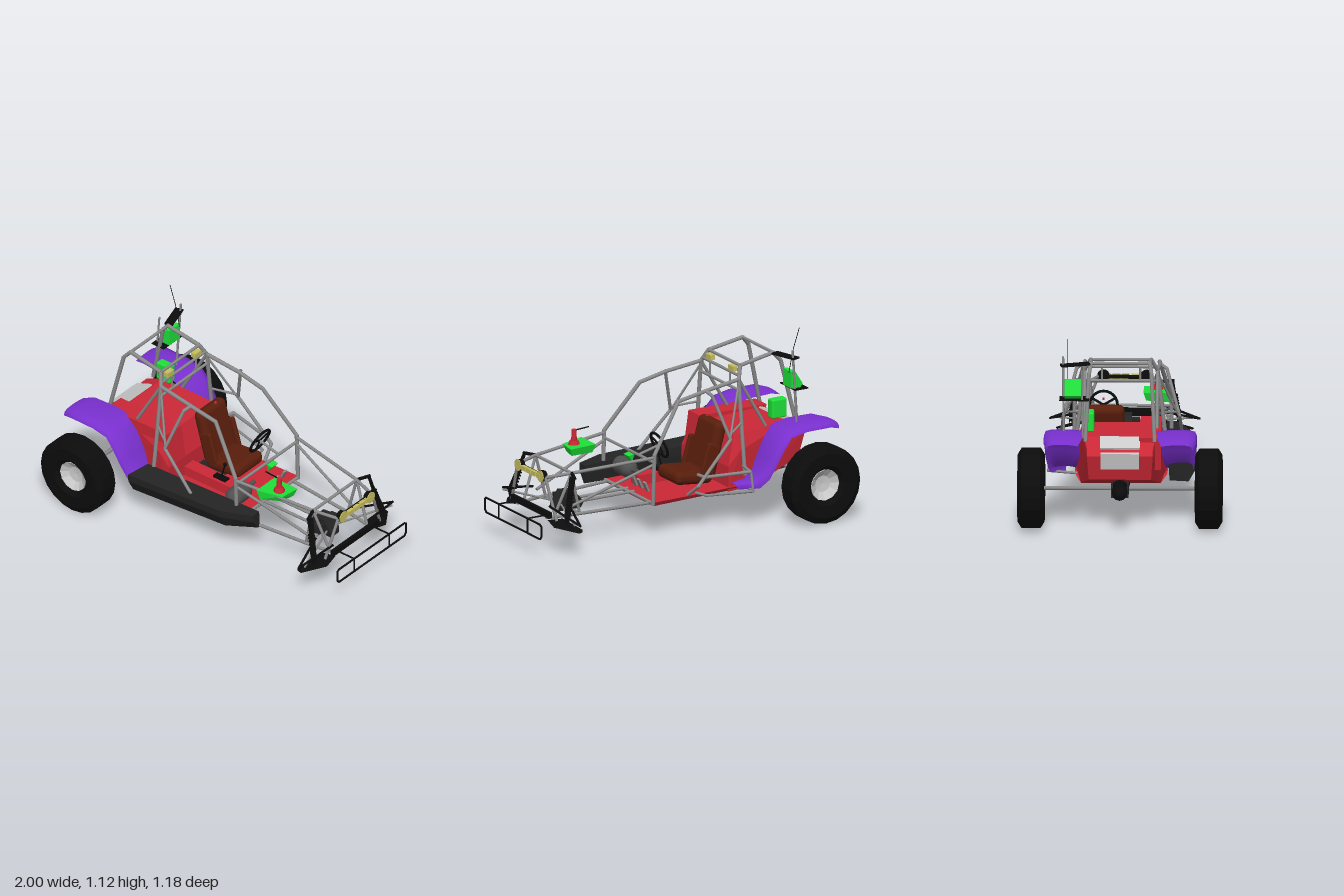
import * as THREE from 'three';
import { mergeGeometries } from 'three/addons/utils/BufferGeometryUtils.js';
import { ConvexGeometry } from 'three/addons/geometries/ConvexGeometry.js';
import { RoundedBoxGeometry } from 'three/addons/geometries/RoundedBoxGeometry.js';

const mat = (color, flatShading = false) => new THREE.MeshStandardMaterial({ color, flatShading, side: THREE.DoubleSide });
const V = (p) => new THREE.Vector3(...p);

export function createModel() {
  const root = new THREE.Group();
  const light = mat(0xcccccc, true), steel = mat(0x8a8a8a), tank = mat(0x505050);
  const black = mat(0x0c0c0c), tread = mat(0x0c0c0c, true), dark = mat(0x242424, true), red = mat(0xcc2836, true);
  const purple = mat(0x7a30d0), green = mat(0x1ee03a), brown = mat(0x5a1e0c), yellow = mat(0xc8c060);

  const add = (name, geo, m, pos = [0, 0, 0], rot = [0, 0, 0]) => {
    const mesh = new THREE.Mesh(geo, m);
    mesh.name = name;
    mesh.position.set(...pos);
    mesh.rotation.set(...rot);
    root.add(mesh);
    return mesh;
  };
  const box = (name, size, pos, m, rot) => add(name, new THREE.BoxGeometry(...size), m, pos, rot);
  const hull = (name, pts, m) => add(name, new ConvexGeometry(pts.map(V)), m);
  // Straight pipe runs with ball joints at the bends
  const pipe = (name, pts, r = 0.01, m = steel) => {
    const parts = [];
    pts.forEach((p, i) => {
      if (i === 0) return;
      const a = V(pts[i - 1]), d = V(p).sub(a), len = d.length();
      const g = new THREE.CylinderGeometry(r, r, len, 8);
      g.applyQuaternion(new THREE.Quaternion().setFromUnitVectors(new THREE.Vector3(0, 1, 0), d.normalize()));
      g.translate(...a.addScaledVector(d, len / 2).toArray());
      parts.push(g);
      if (i < pts.length - 1) parts.push(new THREE.SphereGeometry(r, 8, 6).translate(...p));
    });
    return add(name, mergeGeometries(parts), m);
  };
  const flip = (pts, s) => pts.map(([x, y, z]) => [x, y, z * s]);
  const pipes = (name, pts, r, m) => [1, -1].forEach((s) => pipe(name, flip(pts, s), r, m));
  const cross = (name, x, y, z, r, m) => pipe(name, [[x, y, -z], [x, y, z]], r, m);
  const lathe = (pts, sides) => new THREE.LatheGeometry(pts.map((p) => new THREE.Vector2(...p)), sides);

  // Rear wheels with dished rims, and axle
  const tyre = [[0.09, -0.04], [0.12, -0.074], [0.195, -0.078], [0.232, -0.055], [0.232, 0.055], [0.195, 0.078], [0.12, 0.074], [0.09, 0.04]];
  const rim = [[0, -0.015], [0.05, -0.02], [0.094, -0.05], [0.094, 0.05], [0.05, 0.02], [0, 0.015]];
  for (const s of [1, -1]) {
    add('rearTyre', lathe(tyre, 20), tread, [-0.77, 0.235, s * 0.512], [Math.PI / 2, 0, 0]);
    add('rearRim', lathe(rim, 12), light, [-0.77, 0.235, s * 0.512], [Math.PI / 2, 0, 0]);
  }
  cross('rearAxle', -0.77, 0.235, 0.5, 0.012);

  // Fenders: crowned strips swept over each rear wheel
  const stations = [[-0.95, 0.545, 0.24, 0.42], [-0.88, 0.567, 0.22, 0.44], [-0.72, 0.565, 0.21, 0.44], [-0.62, 0.545, 0.21, 0.44],
    [-0.55, 0.48, 0.22, 0.44], [-0.5, 0.39, 0.23, 0.435], [-0.46, 0.31, 0.25, 0.42], [-0.4, 0.265, 0.26, 0.41], [-0.31, 0.25, 0.26, 0.32]];
  const n = 8;
  for (const s of [1, -1]) {
    const pos = [], idx = [];
    stations.forEach(([x, y, zi, zo], i) => {
      for (let j = 0; j <= n; j++) {
        const t = j / n, drop = 0.035 * Math.pow(t, 8) + 0.01 * Math.pow(1 - t, 4);
        pos.push(x - (i > 3 ? drop * 0.6 : 0), y - drop, s * (zi + (zo - zi) * Math.min(1, t * 1.1)));
        if (i && j) {
          const c = i * (n + 1) + j, b = c - n - 1;
          idx.push(...(s > 0 ? [b - 1, b, c, b - 1, c, c - 1] : [b - 1, c, b, b - 1, c - 1, c]));
        }
      }
    });
    const g = new THREE.BufferGeometry();
    g.setAttribute('position', new THREE.Float32BufferAttribute(pos, 3));
    g.setIndex(idx);
    g.computeVertexNormals();
    add('rearFender', g, purple);
  }

  // Body: engine cover with raised side box, flat floor pan
  const both = (list) => list.flatMap(([x, y, z]) => [[x, y, z], [x, y, -z]]);
  hull('engineCover', both([[-0.86, 0.45, 0.19], [-0.83, 0.49, 0.19], [-0.72, 0.53, 0.21], [-0.36, 0.515, 0.22], [-0.3, 0.34, 0.26],
    [-0.3, 0.19, 0.26], [-0.5, 0.19, 0.23], [-0.82, 0.3, 0.18], [-0.38, 0.42, 0.255]]), red);
  hull('raisedSideBox', [0.11, 0.235].flatMap((z) => [[-0.78, 0.54, z], [-0.33, 0.545, z], [-0.3, 0.34, z], [-0.75, 0.34, z]]), red);
  hull('floorPan', both([[-0.5, 0.19, 0.23], [0.21, 0.19, 0.27], [0.215, 0.215, 0.285], [-0.4, 0.215, 0.265]]), red);
  box('centreTunnel', [0.45, 0.06, 0.08], [-0.1, 0.245, 0.08], red);
  box('rearGrille', [0.115, 0.012, 0.23], [-0.785, 0.51, 0], light, [0, 0, 0.36]);
  box('rearGrillePanel', [0.02, 0.1, 0.22], [-0.85, 0.42, 0], light, [0, 0, 0.2]);

  // Underbody drivetrain
  hull('underTray', both([[-0.85, 0.2, 0.05], [0.13, 0.2, 0.06], [0.13, 0.16, 0.04], [-0.5, 0.165, 0.05], [-0.85, 0.26, 0.05]]), dark);
  add('rearGearbox', new THREE.CapsuleGeometry(0.045, 0.12, 6, 12), black, [-0.83, 0.24, 0], [0, 0, Math.PI / 2]);

  // Side pod on the left flank, nerf bar on the other
  const podTop = [[-0.46, 0.44], [0.18, 0.39], [0.36, 0.31], [0.36, 0.25], [-0.44, 0.28]];
  hull('sidePod', podTop.flatMap(([x, z]) => [[x, 0.318, z], [x, 0.27, z - 0.005],
    [x, x > 0.3 ? 0.21 : 0.19, z - (z > 0.3 ? 0.05 : 0)]]), dark);
  pipe('nerfBar', [[-0.4, 0.33, -0.26], [-0.36, 0.34, -0.405], [-0.09, 0.335, -0.345], [-0.09, 0.33, -0.27]]);
  pipe('nerfBar', [[-0.4, 0.22, -0.25], [-0.37, 0.225, -0.42], [-0.1, 0.225, -0.35], [-0.08, 0.22, -0.26]], 0.008);
  pipe('nerfBarPost', [[-0.365, 0.34, -0.405], [-0.37, 0.225, -0.42]], 0.008);

  // Roll cage
  pipes('rearHoopLeg', [[-0.43, 0.91, 0.175], [-0.656, 0.95, 0.17], [-0.7, 0.9, 0.18], [-0.79, 0.52, 0.2]], 0.012);
  pipes('mainHoopLeg', [[-0.43, 0.91, 0.175], [-0.4, 0.84, 0.21], [-0.4, 0.5, 0.25], [-0.4, 0.28, 0.28]], 0.012);
  pipes('rearBrace', [[-0.4, 0.84, 0.21], [-0.58, 0.53, 0.21]]);
  pipes('roofRail', [[-0.4, 0.84, 0.21], [-0.17, 0.81, 0.22], [0.01, 0.775, 0.215], [0.21, 0.5, 0.28], [0.22, 0.2, 0.28]], 0.012);
  pipes('sideBar', [[-0.17, 0.81, 0.225], [-0.19, 0.79, 0.26], [-0.27, 0.53, 0.335], [-0.04, 0.29, 0.355], [-0.02, 0.22, 0.27]]);
  pipes('doorBar', [[-0.4, 0.585, 0.24], [-0.26, 0.55, 0.33]], 0.007);
  pipes('sideDiagonal', [[-0.39, 0.8, 0.22], [-0.27, 0.53, 0.33]], 0.007);
  for (const [x, y, z] of [[-0.656, 0.95, 0.17], [-0.43, 0.91, 0.175], [-0.405, 0.86, 0.2], [-0.4, 0.775, 0.215],
    [0.21, 0.455, 0.28]]) cross('cageCrossBar', x, y, z, 0.009);
  pipes('roofPost', [[-0.4, 0.86, 0.11], [-0.4, 0.775, 0.11]], 0.006);
  for (const s of [1, -1]) box('roofLamp', [0.03, 0.03, 0.057], [-0.41, 0.886, s * 0.125], yellow);

  // Nose frame
  pipes('upperNoseRail', [[0.21, 0.485, 0.28], [0.72, 0.455, 0.2], [0.87, 0.44, 0.155]]);
  pipes('lowerNoseRail', [[0.1, 0.205, 0.25], [0.72, 0.2, 0.19], [0.87, 0.2, 0.16]]);
  pipes('noseDiagonal', [[0.22, 0.44, 0.275], [0.72, 0.25, 0.19]], 0.009);
  pipes('nosePost', [[0.66, 0.2, 0.19], [0.72, 0.455, 0.2], [0.82, 0.2, 0.17]], 0.009);
  pipes('noseFrontPost', [[0.87, 0.44, 0.155], [0.85, 0.2, 0.25]], 0.009);
  pipes('driveRail', [[0.2, 0.215, 0.035], [0.6, 0.215, 0.035]], 0.009);
  cross('noseCrossBar', 0.72, 0.455, 0.2, 0.009);
  cross('noseFloorBar', 0.66, 0.2, 0.19, 0.009);
  cross('footBar', 0.22, 0.21, 0.28, 0.01);
  hull('frontGearbox', both([[0.54, 0.21, 0.04], [0.56, 0.175, 0.035], [0.72, 0.175, 0.035], [0.72, 0.21, 0.04], [0.67, 0.285, 0.045], [0.6, 0.28, 0.045]]), dark);
  box('gearboxMount', [0.05, 0.05, 0.18], [0.65, 0.23, 0], dark);
  box('frontBeam', [0.022, 0.035, 0.42], [0.87, 0.225, 0], black);

  // Front suspension: coil-over shocks and arms
  const from = V([0.75, 0.45, 0.275]), to = V([0.82, 0.19, 0.31]);
  pipes('shockRod', [from.toArray(), to.toArray()], 0.01, black);
  const tilt = new THREE.Quaternion().setFromUnitVectors(new THREE.Vector3(0, 0, 1), to.clone().sub(from).normalize());
  for (const s of [1, -1]) {
    for (let i = 0; i < 7; i++) {
      const coil = add('shockCoil', new THREE.TorusGeometry(0.016, 0.004, 6, 12), black);
      coil.position.lerpVectors(from, to, 0.36 + i * 0.07);
      coil.quaternion.copy(tilt);
      if (s < 0) { coil.position.z *= -1; coil.quaternion.x *= -1; coil.quaternion.y *= -1; }
    }
    hull('lowerArm', flip([[0.87, 0.19, 0.18], [0.78, 0.19, 0.2], [0.88, 0.17, 0.27], [0.76, 0.155, 0.39], [0.79, 0.155, 0.4], [0.76, 0.17, 0.39]], s), black);
    hull('steeringUpright', flip([[0.74, 0.46, 0.27], [0.77, 0.46, 0.26], [0.78, 0.31, 0.295], [0.84, 0.24, 0.315], [0.82, 0.16, 0.32], [0.8, 0.25, 0.325]], s), black);
  }
  pipes('shockMount', [[0.72, 0.455, 0.2], [0.75, 0.45, 0.285]], 0.01, black);
  pipes('upperArm', [[0.87, 0.28, 0.2], [0.8, 0.21, 0.43], [0.74, 0.27, 0.2]], 0.007, black);
  pipes('tieRod', [[0.7, 0.22, 0.05], [0.82, 0.21, 0.4]], 0.006);

  // Front bumper
  pipe('bumperLoop', [[0.993, 0.127, -0.3], [0.993, 0.127, 0.3], [0.993, 0.145, 0.315], [0.993, 0.205, 0.315], [0.993, 0.215, 0.3],
    [0.993, 0.215, -0.3], [0.993, 0.205, -0.315], [0.993, 0.145, -0.315], [0.993, 0.127, -0.3]], 0.006, black);
  pipes('bumperPost', [[0.993, 0.127, 0.16], [0.993, 0.215, 0.16], [0.87, 0.215, 0.16]], 0.005, black);

  // Headlamps and light bar
  cross('lightBar', 0.865, 0.44, 0.16, 0.012, black);
  for (const s of [1, -1]) {
    add('headlamp', new THREE.CylinderGeometry(0.036, 0.03, 0.03, 16), black, [0.868, 0.443, s * 0.125], [0, 0, -Math.PI / 2]);
    add('headlampLens', new THREE.CylinderGeometry(0.035, 0.035, 0.006, 16), yellow, [0.885, 0.443, s * 0.125], [0, 0, -Math.PI / 2]);
  }
  for (let i = 0; i < 4; i++) box('spotLamp', [0.02, 0.028, 0.044], [0.88, 0.44, 0.058 - i * 0.054], yellow);

  // Seat and cockpit
  add('seatBack', new RoundedBoxGeometry(0.075, 0.34, 0.235, 3, 0.035), brown, [-0.25, 0.43, -0.1], [0, 0, 0.27]);
  add('seatCushion', new RoundedBoxGeometry(0.25, 0.08, 0.24, 3, 0.035), brown, [-0.105, 0.29, -0.1], [0, 0, 0.1]);
  for (const z of [-0.205, 0.005]) add('seatBolster', new RoundedBoxGeometry(0.09, 0.2, 0.03, 2, 0.014), brown, [-0.21, 0.38, z], [0, 0, 0.3]);
  box('harnessTag', [0.012, 0.012, 0.012], [-0.25, 0.622, -0.105], red);
  const wheel = new THREE.Group();
  wheel.name = 'steeringWheel';
  wheel.add(new THREE.Mesh(new THREE.TorusGeometry(0.08, 0.008, 8, 24), black));
  for (let i = 0; i < 3; i++) {
    const spoke = new THREE.Mesh(new THREE.BoxGeometry(0.08, 0.014, 0.006).translate(0.04, 0, 0), black);
    spoke.rotation.z = -Math.PI / 2 + i * Math.PI * 2 / 3;
    wheel.add(spoke);
  }
  wheel.position.set(0.075, 0.495, -0.11);
  wheel.rotation.set(0, Math.PI / 2, -0.38, 'ZYX');
  root.add(wheel);
  pipe('steeringColumn', [[0.075, 0.495, -0.11], [0.21, 0.46, -0.11]], 0.008);
  hull('dashInstrument', [[0.21, 0.45, -0.06], [0.21, 0.45, 0], [0.25, 0.44, -0.06], [0.25, 0.44, 0], [0.22, 0.4, -0.05], [0.22, 0.4, -0.01]], green);
  box('shifterGate', [0.09, 0.012, 0.04], [-0.06, 0.281, 0.08], black);
  pipe('shifter', [[-0.06, 0.28, 0.08], [-0.03, 0.38, 0.08]], 0.005, black);
  add('shifterKnob', new THREE.SphereGeometry(0.012, 10, 8), black, [-0.03, 0.385, 0.08]);
  for (const z of [-0.17, -0.1, -0.04]) box('pedal', [0.012, 0.06, 0.03], [0.2, 0.28, z], steel, [0, 0, -0.4]);
  add('airTank', new THREE.CapsuleGeometry(0.055, 0.07, 8, 16), tank, [0.14, 0.3, 0.165], [Math.PI / 2, 0, 0]);
  pipe('tankNeck', [[0.14, 0.3, 0.08], [0.14, 0.31, 0.02]], 0.012, tank);

  // Tray and swivel mount on the nose
  hull('noseTray', [[0.365, 0.485, 0.115], [0.535, 0.48, 0.115], [0.52, 0.48, 0.235], [0.365, 0.485, 0.28],
    [0.38, 0.435, 0.13], [0.52, 0.435, 0.13], [0.5, 0.435, 0.22], [0.38, 0.425, 0.27]], green);
  add('swivelBase', new THREE.CylinderGeometry(0.025, 0.035, 0.025, 12), red, [0.465, 0.492, 0.195]);
  add('swivelPost', new THREE.CylinderGeometry(0.014, 0.018, 0.08, 10), red, [0.465, 0.53, 0.195]);
  pipe('swivelRod', [[0.365, 0.57, 0.195], [0.47, 0.563, 0.195]], 0.004, black);

  // Rear cargo cans, rack and antennas
  add('lowerCan', new RoundedBoxGeometry(0.1, 0.115, 0.055, 2, 0.01), green, [-0.68, 0.615, -0.178]);
  hull('upperCan', [-0.225, -0.32].flatMap((z) => [[-0.715, 0.865, z], [-0.69, 0.865, z], [-0.69, 0.765, z], [-0.75, 0.765, z], [-0.765, 0.785, z]]), green);
  box('canShelf', [0.09, 0.006, 0.17], [-0.74, 0.762, -0.265], black);
  box('topRack', [0.05, 0.01, 0.17], [-0.685, 0.95, -0.26], black, [0, 0.3, 0]);
  pipe('rackPole', [[-0.72, 0.55, -0.325], [-0.69, 1.0, -0.33]], 0.007);
  pipe('rackPole', [[-0.79, 0.54, -0.215], [-0.76, 0.935, -0.22]], 0.006);
  pipe('antenna', [[-0.68, 0.86, -0.305], [-0.71, 1.0, -0.305], [-0.75, 1.12, -0.305]], 0.002, black);

  return root;
}
